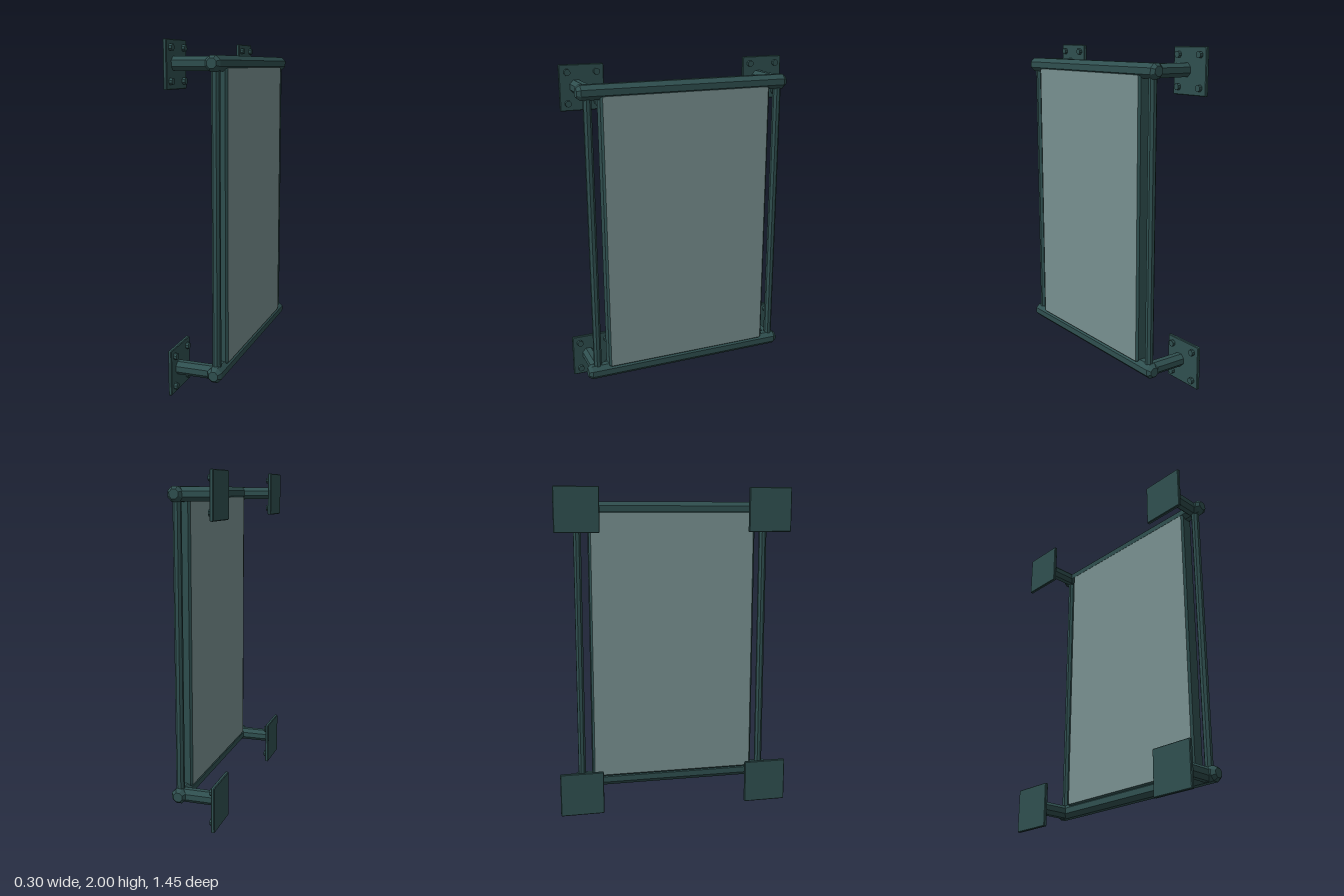
import * as THREE from 'three';

const steel = new THREE.MeshStandardMaterial({ color: 0x2f4f4f, flatShading: true });
const pane = new THREE.MeshStandardMaterial({ color: 0x789090, flatShading: true });

// Eight-sided bar along y, centred, with optional tapered ends; halfWidth is across the flats
function octagonBar(halfWidth, length, taper = 0) {
  const r = halfWidth / Math.cos(Math.PI / 8);
  const h = length / 2;
  const tip = r - taper * 0.8;
  const profile = [[0, -h], [tip, -h]];
  if (taper) profile.push([r, -h + taper], [r, h - taper]);
  profile.push([tip, h], [0, h]);
  return new THREE.LatheGeometry(profile.map(([x, y]) => new THREE.Vector2(x, y)), 8, Math.PI / 8);
}

// Bevelled slab facing +x, centred: depth along z, height along y, thickness along x
function slab(depth, height, thickness, bevel, corner) {
  const w = depth / 2 - bevel, h = height / 2 - bevel;
  const s = new THREE.Shape();
  s.moveTo(-w + corner, -h);
  s.lineTo(w - corner, -h);
  s.quadraticCurveTo(w, -h, w, -h + corner);
  s.lineTo(w, h - corner);
  s.quadraticCurveTo(w, h, w - corner, h);
  s.lineTo(-w + corner, h);
  s.quadraticCurveTo(-w, h, -w, h - corner);
  s.lineTo(-w, -h + corner);
  s.quadraticCurveTo(-w, -h, -w + corner, -h);
  const g = new THREE.ExtrudeGeometry(s, {
    depth: thickness - 2 * bevel, bevelThickness: bevel, bevelSize: bevel, bevelSegments: 1, curveSegments: 3
  });
  g.translate(0, 0, -(thickness - 2 * bevel) / 2);
  return g.rotateY(Math.PI / 2);
}

export function createModel() {
  const model = new THREE.Group();
  model.name = 'wallMountedPanel';

  function add(name, geometry, x, y, z, material = steel, parent = model) {
    const mesh = new THREE.Mesh(geometry, material);
    mesh.name = name;
    mesh.position.set(x, y, z);
    parent.add(mesh);
    return mesh;
  }

  const barX = 0.106, shift = 0.031;
  const levels = [['lower', 0.138, 0.134], ['upper', 1.872, 1.866]];
  const sides = [['Front', 1], ['Back', -1]];

  // Panel: pane on both faces, steel rim around the edge
  add('panel', slab(1.062, 1.70, 0.088, 0.012, 0.012), 0.102, 1.01, shift, [pane, steel]);

  // Upright posts beside the panel
  for (const [side, s] of sides)
    add('post' + side, octagonBar(0.023, 1.72), barX, 1.005, s * 0.598 + shift);

  for (const [level, y, plateY] of levels) {
    // Horizontal rails with tapered ends
    const rail = octagonBar(0.043, 1.312, 0.022).rotateX(Math.PI / 2);
    add(level + 'Rail', rail, barX, y, 0.037);

    // Wall brackets: arm, plate and four bolts
    for (const [side, s] of sides) {
      const bracket = new THREE.Group();
      bracket.name = level + 'Bracket' + side;
      model.add(bracket);
      const arm = octagonBar(0.039, 0.24).rotateZ(Math.PI / 2);
      add('arm', arm, -0.02, y, s * 0.592 + shift, steel, bracket);
      add('wallPlate', slab(0.268, 0.268, 0.021, 0.004, 0.003), -0.145, plateY, s * 0.59, steel, bracket);
      for (const by of [-0.09, 0.09])
        for (const bz of [-0.088, 0.088]) {
          const bolt = octagonBar(0.018, 0.03).rotateZ(Math.PI / 2);
          add('bolt', bolt, -0.131, plateY + by, s * 0.59 + bz, steel, bracket);
        }
    }
  }
  return model;
}
